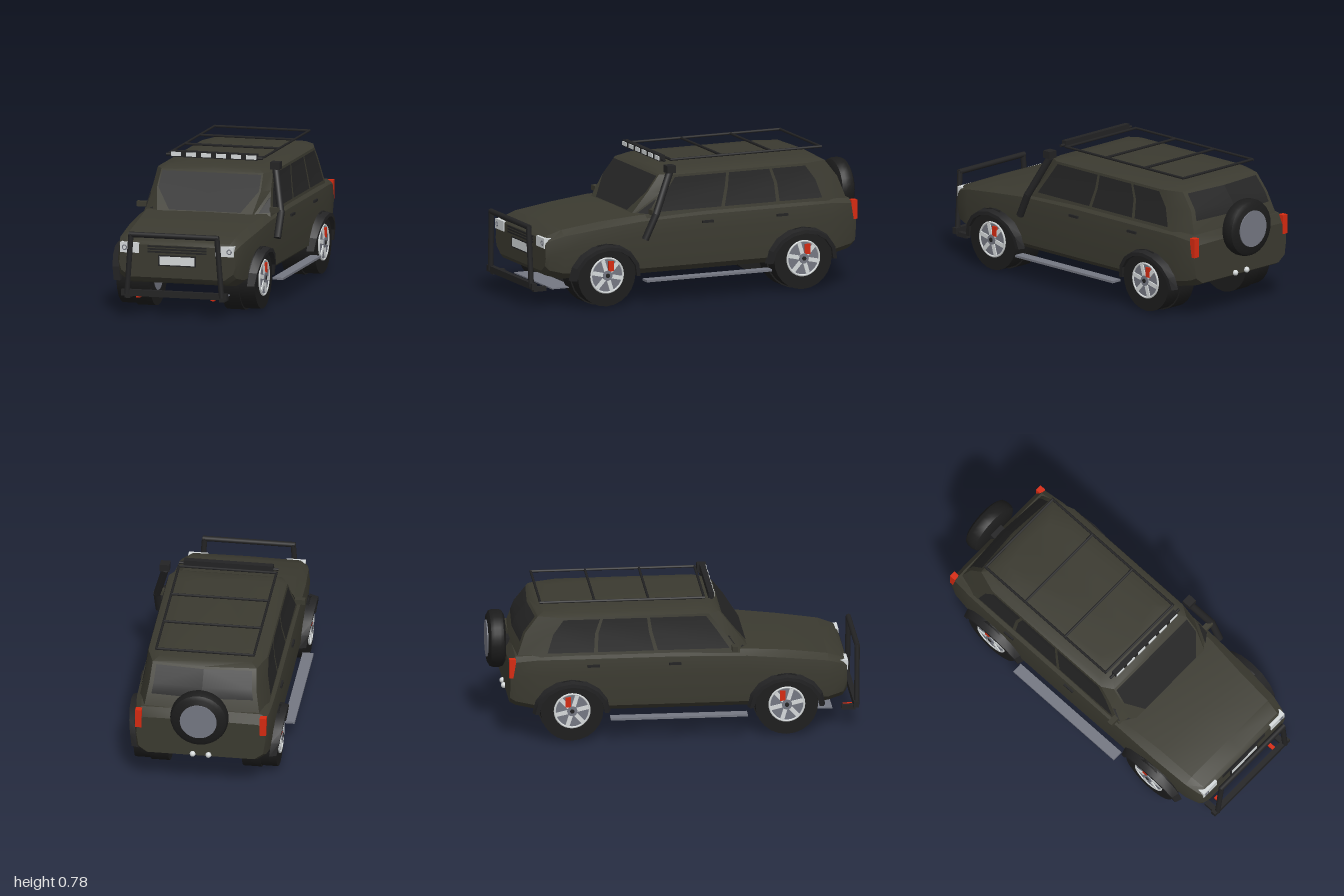
import * as THREE from 'three';
import { toCreasedNormals } from 'three/addons/utils/BufferGeometryUtils.js';

const mat = (name, color, side = THREE.FrontSide) => {
  const m = new THREE.MeshStandardMaterial({ color, side });
  m.name = name;
  return m;
};

export function createModel() {
  const root = new THREE.Group();
  root.name = 'offRoadCar';
  const paint = mat('olive paint', 0x3b3a30);
  const glass = mat('dark glass', 0x252525, THREE.DoubleSide);
  const rubber = mat('tyre rubber', 0x1c1c1c);
  const trim = mat('black trim', 0x232324);
  const metal = mat('grey metal', 0x747782);
  const light = mat('pale lamp and chrome', 0xd6dadb);
  const red = mat('red', 0xd62a10);

  const add = (name, geo, m, x = 0, y = 0, z = 0) => {
    const mesh = new THREE.Mesh(geo, m);
    mesh.name = name;
    mesh.position.set(x, y, z);
    root.add(mesh);
    return mesh;
  };
  const box = (name, m, w, h, d, x, y, z) => add(name, new THREE.BoxGeometry(w, h, d), m, x, y, z);
  // Cylinder lying along x
  const disc = (name, m, r, w, x, y, z, n = 28) =>
    add(name, new THREE.CylinderGeometry(r, r, w, n).rotateZ(Math.PI / 2), m, x, y, z);
  // Round bar between two points
  const bar = (name, m, a, b, r, n = 10) => {
    const p = new THREE.Vector3(...a), d = new THREE.Vector3(...b).sub(p);
    const mesh = add(name, new THREE.CylinderGeometry(r, r, d.length(), n), m);
    mesh.position.copy(p).addScaledVector(d, 0.5);
    mesh.quaternion.setFromUnitVectors(new THREE.Vector3(0, 1, 0), d.normalize());
    return mesh;
  };
  // Closed skin over a row of cross-section rings, with end caps facing outward
  const loft = (rings, crease = 0.5) => {
    const n = rings[0].length, pos = rings.flat(2), idx = [];
    for (let i = 0; i < rings.length - 1; i++)
      for (let j = 0; j < n; j++) {
        const a = i * n + j, b = i * n + (j + 1) % n;
        idx.push(a, b, b + n, a, b + n, a + n);
      }
    const e = (rings.length - 1) * n;
    for (let j = 1; j < n - 1; j++) idx.push(0, j + 1, j, e, e + j, e + j + 1);
    const v = (k) => new THREE.Vector3(...pos.slice(k * 3, k * 3 + 3));
    let volume = 0;
    for (let k = 0; k < idx.length; k += 3) volume += v(idx[k]).dot(v(idx[k + 1]).cross(v(idx[k + 2])));
    if (volume < 0) idx.reverse();
    const g = new THREE.BufferGeometry();
    g.setAttribute('position', new THREE.Float32BufferAttribute(pos, 3));
    g.setIndex(idx);
    return toCreasedNormals(g, crease);
  };
  const mirrorRing = (half) =>
    half.concat(half.slice(1, -1).reverse().map(([x, y, z]) => [-x, y, z]));

  // Lower body: z, half width, floor, shoulder, top half width, top
  const sections = [
    [0.922, 0.325, 0.215, 0.37, 0.29, 0.39], [0.9, 0.337, 0.19, 0.385, 0.29, 0.41],
    [0.82, 0.355, 0.17, 0.41, 0.3, 0.437], [0.6, 0.37, 0.165, 0.437, 0.31, 0.467],
    [0.38, 0.375, 0.165, 0.458, 0.33, 0.487], [0, 0.378, 0.165, 0.468, 0.345, 0.488],
    [-0.6, 0.378, 0.165, 0.468, 0.345, 0.488], [-0.75, 0.375, 0.175, 0.468, 0.34, 0.488],
    [-0.87, 0.363, 0.2, 0.455, 0.325, 0.48], [-0.9, 0.35, 0.215, 0.41, 0.31, 0.43]];
  add('lowerBody', loft(sections.map(([z, w, yb, ys, wt, yt]) => mirrorRing([
    [0, yb, z], [w - 0.06, yb, z], [w - 0.012, yb + 0.035, z], [w, ys - 0.08, z],
    [w - 0.008, ys, z], [wt, yt, z], [0, yt + 0.004, z]]))), paint);

  // Cabin: height, front z, rear z, half width, half width of windscreen plane
  const levels = [
    [0.46, 0.405, -0.885, 0.355, 0.26], [0.6, 0.305, -0.835, 0.33, 0.29],
    [0.69, 0.235, -0.765, 0.322, 0.285], [0.708, 0.2, -0.73, 0.29, 0.25],
    [0.718, 0.12, -0.68, 0.2, 0.16]];
  const plan = ([y, f, r, w, a]) => [
    [0, y, f], [a, y, f], [w, y, f - 0.06], [w, y, r + 0.14], [w - 0.04, y, r + 0.02], [0, y, r]];
  add('cabin', loft(levels.map((l) => mirrorRing(plan(l))), 0.45), paint);

  // Point on the cabin skin at height y and plan position u (0 front centre, 5 rear centre)
  const mix = (a, b, t) => a.map((v, i) => v + (b[i] - v) * t);
  const skin = (y, u) => {
    const i = y < 0.6 ? 0 : 1;
    const p = plan(mix(levels[i], levels[i + 1], (y - levels[i][0]) / (levels[i + 1][0] - levels[i][0])));
    const k = Math.min(Math.floor(u), 4);
    return mix(p[k], p[k + 1], u - k);
  };
  // Glass plate from rows of [height, u start, u end], lifted by an offset and mirrored
  const pane = (name, rows, off) => {
    for (const s of [1, -1]) {
      const pos = [], idx = [];
      rows.forEach(([y, u0, u1], i) => {
        for (const u of [u0, u1]) {
          const p = skin(y, u);
          pos.push(s * (p[0] + off[0]), p[1] + off[1], p[2] + off[2]);
        }
        const a = 2 * i;
        if (i < rows.length - 1) idx.push(a, a + 1, a + 3, a, a + 3, a + 2);
      });
      if (s < 0) idx.reverse();
      const g = new THREE.BufferGeometry();
      g.setAttribute('position', new THREE.Float32BufferAttribute(pos, 3));
      g.setIndex(idx);
      g.computeVertexNormals();
      add(name, g, glass);
    }
  };
  pane('windscreen', [[0.492, 0, 0.75], [0.6, 0, 0.97], [0.68, 0, 0.97]], [0, 0.002, 0.004]);
  pane('quarterGlass', [[0.492, 1.3, 1.95], [0.565, 1.85, 1.95]], [0.003, 0, 0.003]);
  for (const [a, b] of [[2.03, 2.4], [2.42, 2.71], [2.73, 2.97]])
    pane('sideWindow', [[0.5, a, b], [0.6, a, b], [0.678, a, b]], [0.004, 0, 0]);
  pane('rearWindow', [[0.545, 4.08, 5], [0.6, 4.08, 5], [0.68, 4.08, 5]], [0, 0.002, -0.005]);

  // Nose: grille slats, plate and lamps
  for (const y of [0.385, 0.37, 0.355]) box('grilleSlat', trim, 0.33, 0.009, 0.016, 0, y, 0.918);
  box('plateFrame', trim, 0.21, 0.06, 0.012, 0, 0.31, 0.922);
  box('numberPlate', light, 0.195, 0.046, 0.008, 0, 0.31, 0.926);
  for (const s of [1, -1]) {
    box('headlight', light, 0.105, 0.055, 0.04, s * 0.265, 0.373, 0.908);
    add('headlightRing', new THREE.TorusGeometry(0.012, 0.003, 6, 16), metal, s * 0.293, 0.373, 0.929);
  }

  // Front guard bar
  bar('guardTop', trim, [-0.25, 0.455, 0.985], [0.25, 0.455, 0.985], 0.015);
  box('guardBeam', trim, 0.59, 0.034, 0.028, 0, 0.137, 0.975);
  for (const s of [1, -1]) {
    bar('guardUpright', trim, [s * 0.24, 0.46, 0.985], [s * 0.265, 0.13, 0.98], 0.015);
    box('guardFoot', trim, 0.03, 0.025, 0.075, s * 0.265, 0.118, 0.935);
    box('towHook', red, 0.02, 0.012, 0.05, s * 0.208, 0.113, 0.935);
  }
  box('skidPlate', metal, 0.49, 0.007, 0.13, 0, 0.107, 0.785);

  // Roof rack and light bar
  for (const s of [1, -1]) bar('rackRail', trim, [s * 0.265, 0.762, 0.16], [s * 0.265, 0.762, -0.735], 0.007, 6);
  for (const z of [0.155, -0.145, -0.437, -0.73])
    bar('rackCrossbar', trim, [-0.265, 0.762, z], [0.265, 0.762, z], 0.007, 6);
  bar('lightBarRod', trim, [-0.27, 0.761, 0.195], [0.27, 0.761, 0.195], 0.008);
  box('lightBar', trim, 0.485, 0.034, 0.03, 0, 0.768, 0.195);
  for (let i = 0; i < 6; i++) box('roofLamp', light, 0.056, 0.022, 0.02, (i - 2.5) * 0.084, 0.768, 0.205);

  // Snorkel on the left pillar
  bar('snorkelUpper', trim, [0.345, 0.71, 0.2], [0.405, 0.49, 0.31], 0.02);
  bar('snorkelLower', trim, [0.405, 0.5, 0.306], [0.402, 0.365, 0.37], 0.02);
  box('snorkelHead', trim, 0.052, 0.04, 0.05, 0.346, 0.73, 0.2);

  for (const s of [1, -1]) {
    // Mirrors, handles, running boards and tail lamps
    box('mirror', paint, 0.055, 0.028, 0.03, s * 0.372, 0.506, 0.31);
    bar('mirrorStalk', trim, [s * 0.335, 0.49, 0.3], [s * 0.365, 0.503, 0.31], 0.007, 6);
    for (const z of [-0.012, -0.452]) box('doorHandle', trim, 0.014, 0.013, 0.065, s * 0.377, 0.43, z);
    box('runningBoard', metal, 0.06, 0.012, 0.74, s * 0.406, 0.143, 0.005);
    box('tailLight', red, 0.035, 0.105, 0.035, s * 0.338, 0.42, -0.888);
    add('rearStud', new THREE.SphereGeometry(0.016, 10, 8), light, s * 0.043, 0.225, -0.905);

    for (const z of [0.59, -0.57]) {
      // Wheel: tyre, rim, spokes and brake
      const y = 0.185;
      disc('tyre', rubber, 0.17, 0.09, s * 0.342, y, z, 24);
      disc('innerTyre', rubber, 0.178, 0.1, s * 0.25, y, z, 24);
      disc('innerRim', metal, 0.095, 0.004, s * 0.199, y, z);
      disc('rimFace', metal, 0.097, 0.006, s * 0.388, y, z);
      add('rimRing', new THREE.TorusGeometry(0.094, 0.006, 6, 28).rotateY(Math.PI / 2), light, s * 0.391, y, z);
      for (let k = 0; k < 6; k++) {
        const t = k * Math.PI / 3 + 0.3;
        const spoke = box('spoke', light, 0.008, 0.07, 0.022, s * 0.393, y + 0.055 * Math.cos(t), z + 0.055 * Math.sin(t));
        spoke.rotation.x = t;
      }
      box('brakeCaliper', red, 0.012, 0.055, 0.03, s * 0.394, y + 0.05, z - 0.022);
      disc('hub', metal, 0.028, 0.014, s * 0.394, y, z, 14);
      disc('hubCap', trim, 0.012, 0.006, s * 0.402, y, z, 10);

      // Flared arch bulging outward at its crown
      const rings = [];
      for (let k = 0; k <= 8; k++) {
        const t = k * Math.PI / 8, c = Math.cos(t), h = Math.sin(t);
        const x0 = s * (0.355 + 0.02 * h), x1 = s * (0.393 + 0.03 * h);
        rings.push([[x0, 0.172], [x1, 0.172], [x1, 0.193], [x0, 0.205]]
          .map(([x, r]) => [x, 0.168 + r * 0.92 * h, z + r * 1.03 * c]));
      }
      add('wheelArch', loft(rings, 0.4), trim);
    }
  }

  // Spare wheel on the tailgate, rounded at the tread edges
  const profile = [[0, -0.046], [0.13, -0.046], [0.15, -0.034], [0.157, -0.015],
    [0.157, 0.015], [0.15, 0.034], [0.13, 0.046], [0, 0.046]].map((p) => new THREE.Vector2(...p));
  add('spareTyre', toCreasedNormals(new THREE.LatheGeometry(profile, 28).rotateX(Math.PI / 2), 0.6), rubber, 0, 0.48, -0.947);
  add('spareCover', new THREE.CylinderGeometry(0.1, 0.1, 0.008, 28).rotateX(Math.PI / 2), metal, 0, 0.48, -0.995);
  box('spareMount', trim, 0.08, 0.08, 0.06, 0, 0.45, -0.89);

  return root;
}
